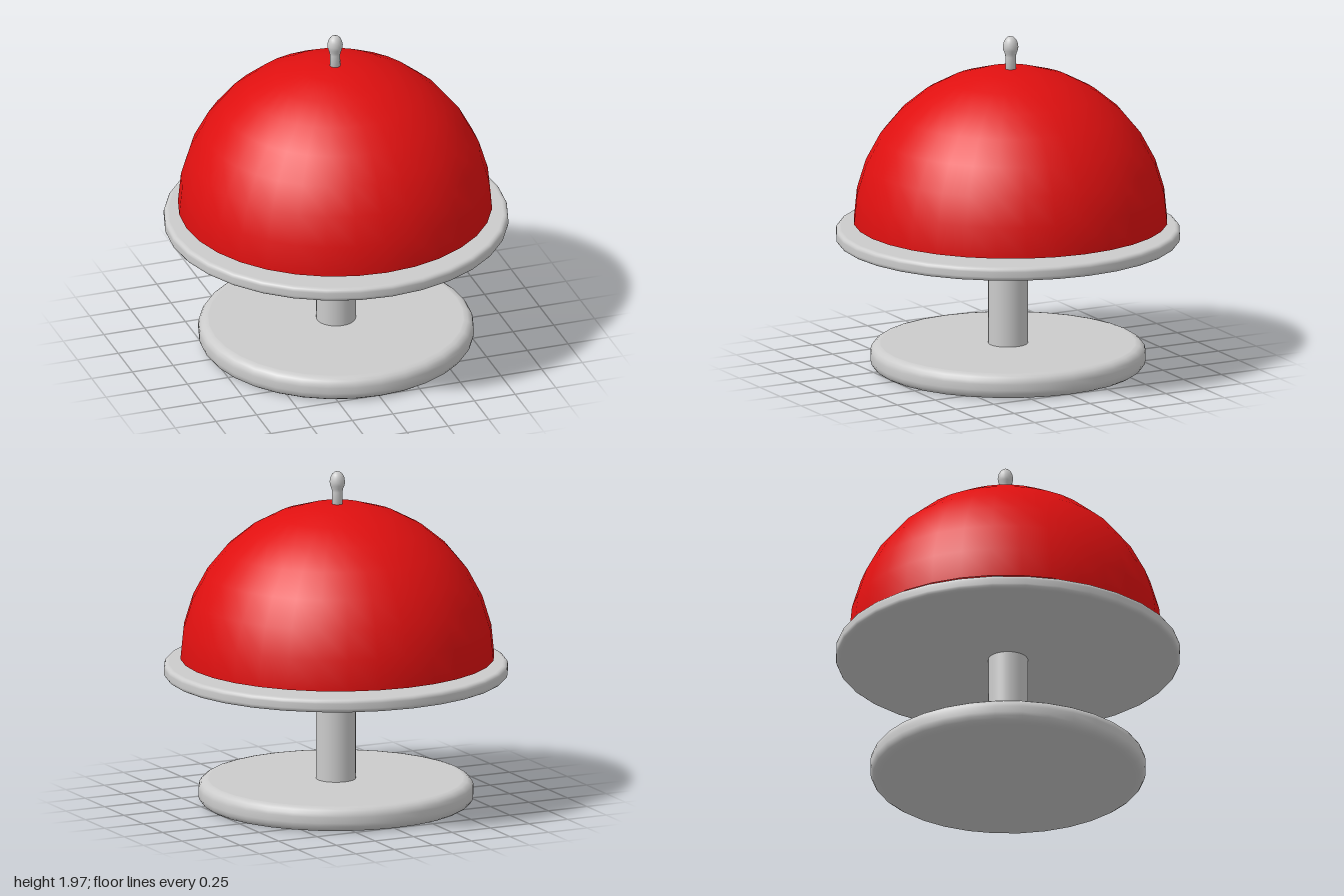
import * as THREE from 'three';

const SIDES = 32;
const grey = new THREE.MeshStandardMaterial({ color: 0xcccccc });
const red = new THREE.MeshStandardMaterial({ color: 0xe01010, side: THREE.DoubleSide });

function part(name, geometry, material = grey) {
  const mesh = new THREE.Mesh(geometry, material);
  mesh.name = name;
  return mesh;
}

// Flat disc with rounded upper and lower edges
function roundedDisc(radius, y0, y1, fillet, steps = 4) {
  const pts = [new THREE.Vector2(0, y0), new THREE.Vector2(radius - fillet - 0.005, y0)];
  for (const [cy, start] of [[y0 + fillet, -Math.PI / 2], [y1 - fillet, 0]]) {
    for (let i = 0; i <= steps; i++) {
      const a = start + (i / steps) * Math.PI / 2;
      pts.push(new THREE.Vector2(radius - fillet + fillet * Math.cos(a), cy + fillet * Math.sin(a)));
    }
  }
  pts.push(new THREE.Vector2(radius - fillet - 0.005, y1), new THREE.Vector2(0, y1));
  return new THREE.LatheGeometry(pts, SIDES);
}

export function createModel() {
  const model = new THREE.Group();
  model.name = 'domedCakeStand';

  // Stand: foot, column and plate
  model.add(part('base', roundedDisc(0.8, 0, 0.145, 0.055)));
  const column = part('column', new THREE.CylinderGeometry(0.115, 0.115, 0.64, SIDES));
  column.position.y = 0.45;
  model.add(column);
  model.add(part('plate', roundedDisc(1, 0.757, 0.837, 0.025)));

  // Lid sits slightly above the plate and a touch towards the back
  const lid = new THREE.Group();
  lid.name = 'lid';
  lid.position.set(0, 0.87, -0.017);
  lid.add(part('dome', new THREE.SphereGeometry(0.912, SIDES, 8, 0, Math.PI * 2, 0, Math.PI / 2), red));

  // Handle: thin stem swelling into a pointed knob
  const profile = [
    [0, 0.88], [0.031, 0.88], [0.03, 0.98], [0.034, 1.0], [0.042, 1.02], [0.045, 1.04],
    [0.041, 1.065], [0.031, 1.085], [0.017, 1.098], [0, 1.103],
  ].map(([r, y]) => new THREE.Vector2(r, y));
  lid.add(part('handle', new THREE.LatheGeometry(profile, 24)));
  model.add(lid);

  return model;
}
